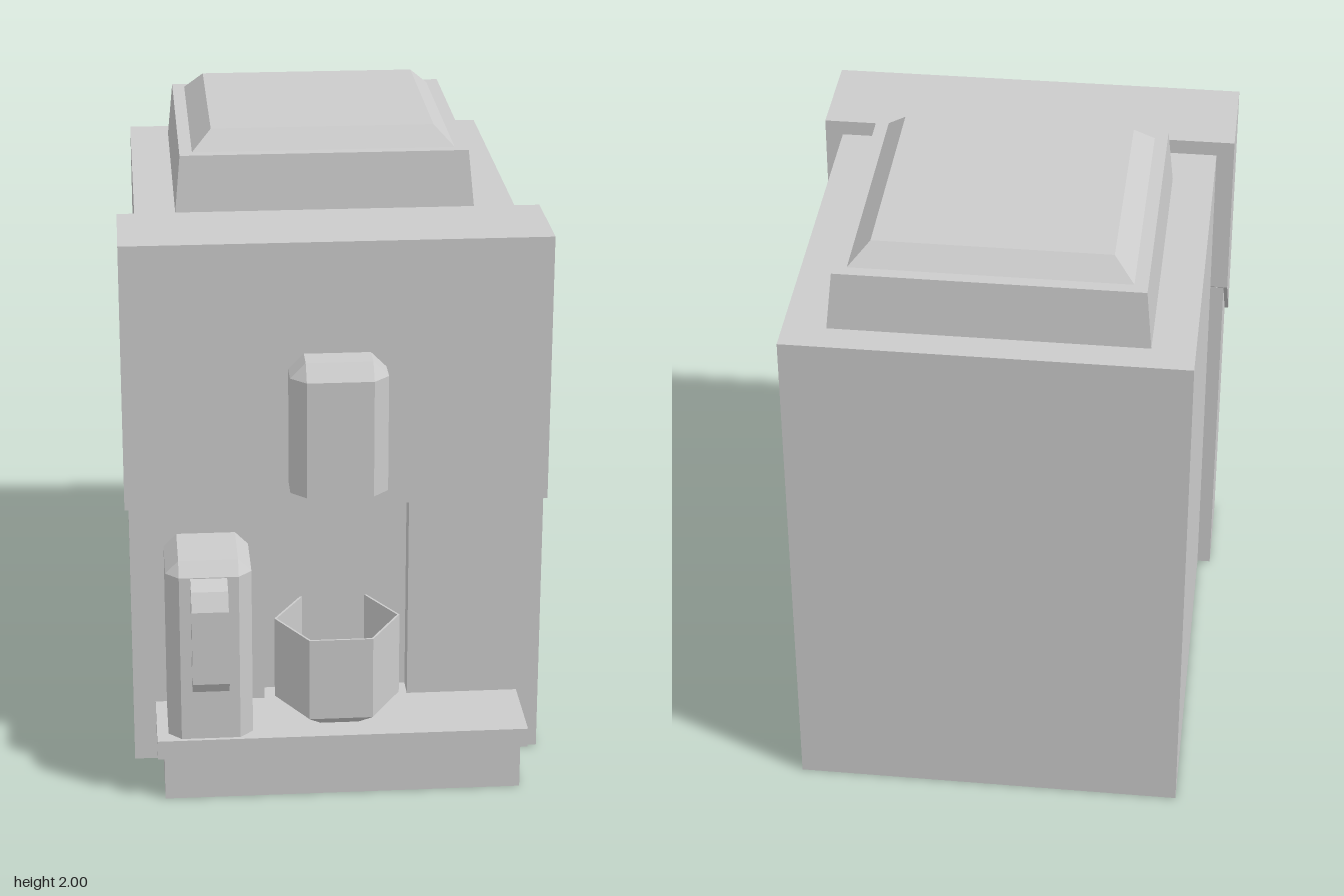
import * as THREE from 'three';
import { ConvexGeometry } from 'three/addons/geometries/ConvexGeometry.js';

export function createModel() {
  const model = new THREE.Group();
  const grey = new THREE.MeshStandardMaterial({ color: 0xcccccc, flatShading: true });
  const greyDouble = new THREE.MeshStandardMaterial({ color: 0xcccccc, flatShading: true, side: THREE.DoubleSide });

  const add = (name, geometry, material = grey) => {
    const mesh = new THREE.Mesh(geometry, material);
    mesh.name = name;
    model.add(mesh);
    return mesh;
  };

  // Box given by its limits on each axis
  const box = (name, x0, x1, y0, y1, z0, z1) =>
    add(name, new THREE.BoxGeometry(x1 - x0, y1 - y0, z1 - z0)
      .translate((x0 + x1) / 2, (y0 + y1) / 2, (z0 + z1) / 2));

  // Four points of a rectangle at height y
  const ring = (cx, cz, hx, hz, y) =>
    [[-1, -1], [1, -1], [1, 1], [-1, 1]].map(([sx, sz]) => new THREE.Vector3(cx + sx * hx, y, cz + sz * hz));

  // Block whose sides slope between two rectangles
  const frustum = (name, cz, y0, hx0, hz0, y1, hx1, hz1) =>
    add(name, new ConvexGeometry([...ring(0, cz, hx0, hz0, y0), ...ring(0, cz, hx1, hz1, y1)]));

  // Block with cut upright edges and a cut top rim
  const chamferedBlock = (name, cx, cz, hx, hz, y0, y1, c) => {
    const points = ring(cx, cz, hx - c, hz - c, y1);
    for (const y of [y0, y1 - c])
      points.push(...ring(cx, cz, hx, hz - c, y), ...ring(cx, cz, hx - c, hz, y));
    return add(name, new ConvexGeometry(points));
  };

  const outline = (points) => points.map(([x, y]) => new THREE.Vector2(x, y));

  // Side profile (z, y) extruded across x
  const sideExtrude = (name, points, x0, x1, hole) => {
    const shape = new THREE.Shape(outline(points));
    if (hole) shape.holes.push(new THREE.Path(outline(hole)));
    const geometry = new THREE.ExtrudeGeometry(shape, { depth: x1 - x0, bevelEnabled: false });
    return add(name, geometry.rotateY(-Math.PI / 2).translate(x1, 0, 0));
  };

  // Main housing and stepped lid
  box('housing', -0.63, 0.63, 0, 1.75, -0.98, 0.27);
  frustum('lidBase', -0.39, 1.75, 0.495, 0.49, 1.937, 0.477, 0.47);
  frustum('lidTop', -0.39, 1.937, 0.435, 0.43, 2.0, 0.37, 0.37);

  // Upper front panel with its sloping lower edge
  sideExtrude('upperFrontPanel',
    [[0.265, 1.225], [0.612, 0.908], [0.612, 1.8], [0.265, 1.8]], -0.688, 0.688);

  // Lower front panel with a niche for the cup
  box('lowerPanelBack', -0.675, 0.675, 0.005, 1.22, 0.27, 0.53);
  const face = new THREE.Shape(outline([[-0.675, 0.005], [0.675, 0.005], [0.675, 1], [-0.675, 1]]));
  face.holes.push(new THREE.Path(outline([[-0.24, 0.18], [-0.24, 0.905], [0.235, 0.905], [0.235, 0.18]])));
  add('lowerPanelFace', new THREE.ExtrudeGeometry(face, { depth: 0.077, bevelEnabled: false }).translate(0, 0, 0.53));

  // Drip tray
  box('trayBase', -0.58, 0.58, 0, 0.15, 0.52, 0.88);
  box('trayTop', -0.602, 0.602, 0.15, 0.215, 0.52, 0.893);

  // Spout block
  chamferedBlock('spout', 0, 0.6, 0.157, 0.15, 0.99, 1.43, 0.05);

  // Jug and its handle
  chamferedBlock('jug', -0.428, 0.73, 0.137, 0.15, 0.215, 0.825, 0.042);
  sideExtrude('jugHandle',
    [[0.87, 0.405], [0.955, 0.42], [0.985, 0.46], [0.985, 0.71], [0.95, 0.765], [0.87, 0.782]],
    -0.487, -0.37,
    [[0.905, 0.435], [0.905, 0.745], [0.932, 0.735], [0.95, 0.7], [0.95, 0.475], [0.935, 0.445]]);

  // Six-sided open cup
  const cupProfile = outline([[0, 0.215], [0.125, 0.215], [0.205, 0.265], [0.205, 0.545],
    [0.197, 0.545], [0.197, 0.27], [0.12, 0.225], [0, 0.225]]);
  add('cup', new THREE.LatheGeometry(cupProfile, 6, Math.PI / 2), greyDouble).position.set(-0.006, 0, 0.692);

  return model;
}
